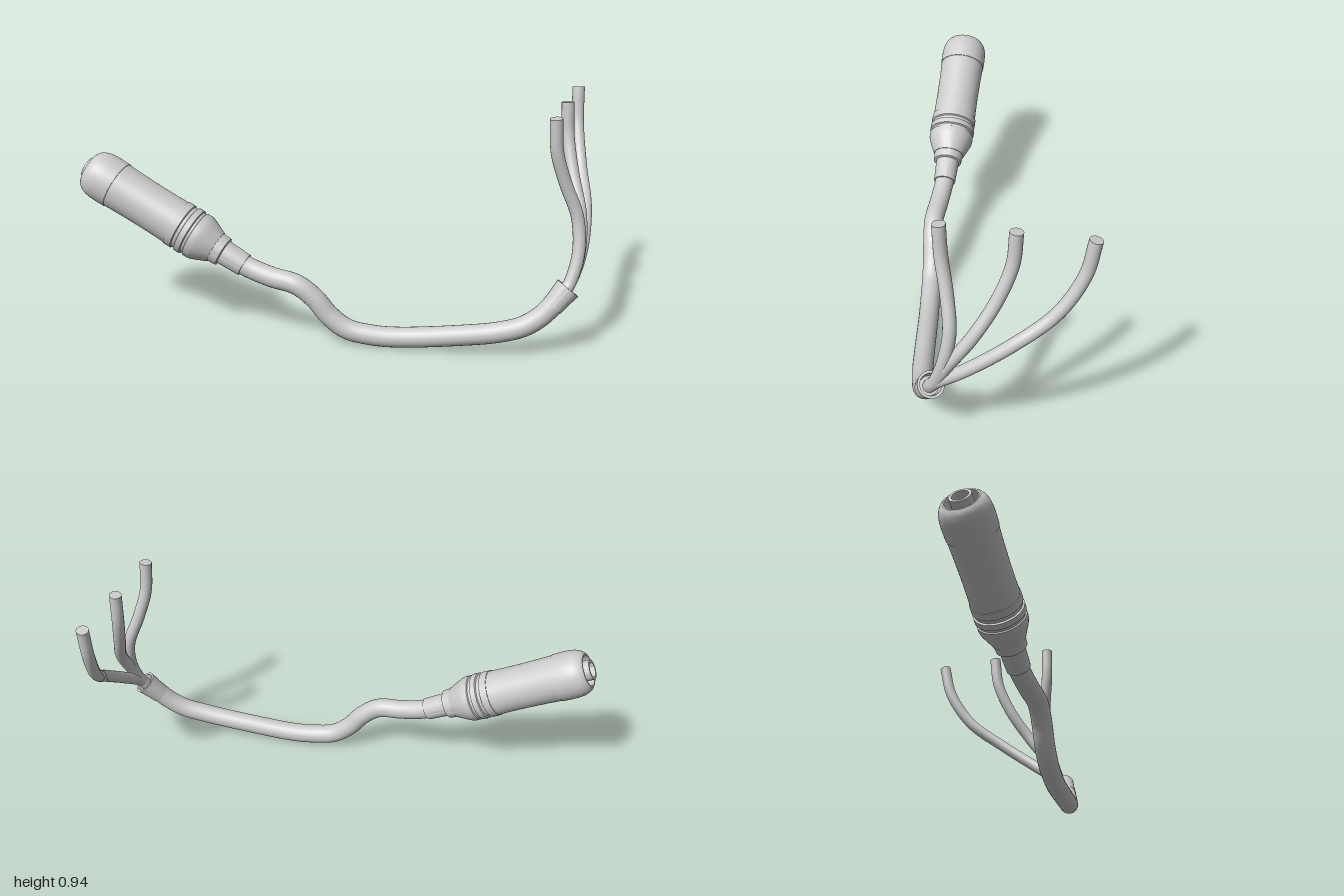
import * as THREE from 'three';
import { toCreasedNormals } from 'three/addons/utils/BufferGeometryUtils.js';

const grey = new THREE.MeshStandardMaterial({ color: 0xcccccc });
grey.name = 'light grey';

const UP = new THREE.Vector3(0, 1, 0);
const vec = (p) => new THREE.Vector3(...p);

function part(name, geometry) {
  const mesh = new THREE.Mesh(geometry, grey);
  mesh.name = name;
  return mesh;
}

// Turned part: profile is a list of [radius, distance along axis]
function turned(name, profile, origin, axis) {
  const pts = profile.map(([r, s]) => new THREE.Vector2(r, s));
  const mesh = part(name, toCreasedNormals(new THREE.LatheGeometry(pts, 48), 0.5));
  mesh.position.copy(origin);
  mesh.quaternion.setFromUnitVectors(UP, axis.clone().normalize());
  return mesh;
}

// Smooth tube through points, closed by a disc at its far end
function cord(name, points, radius, segments) {
  const group = new THREE.Group();
  group.name = name;
  const curve = new THREE.CatmullRomCurve3(points.map(vec), false, 'centripetal');
  group.add(part(name + 'Sheath', new THREE.TubeGeometry(curve, segments, radius, 24)));
  const cap = part(name + 'End', new THREE.CircleGeometry(radius, 24));
  cap.position.copy(curve.getPoint(1));
  cap.quaternion.setFromUnitVectors(new THREE.Vector3(0, 0, 1), curve.getTangent(1));
  group.add(cap);
  return group;
}

export function createModel() {
  const model = new THREE.Group();
  model.name = 'cableWithConnector';

  // Connector, built along its sloping axis
  const origin = vec([-0.884, 0.597, 0.37]);
  const axis = vec([0.571, -0.302, -0.026]);
  const connector = new THREE.Group();
  connector.name = 'connector';
  connector.add(
    // hollow rounded nose
    turned('noseCap', [
      [0, -0.02], [0.06, -0.02], [0.064, -0.097], [0.07, -0.097], [0.08, -0.09],
      [0.089, -0.077], [0.096, -0.058], [0.099, -0.035], [0.1, -0.01],
      [0.099, 0.034], [0.09, 0.036], [0, 0.036],
    ], origin, axis),
    // hollow pin inside the nose
    turned('innerPin', [
      [0, -0.05], [0.03, -0.05], [0.032, -0.113], [0.042, -0.113], [0.042, -0.01], [0, -0.01],
    ], origin, axis),
    // slightly waisted grip
    turned('gripBody', [
      [0, 0.03], [0.097, 0.03], [0.0945, 0.1], [0.093, 0.2], [0.0935, 0.27], [0.095, 0.33], [0, 0.33],
    ], origin, axis),
    // grooved collar and taper
    turned('groovedCollar', [
      [0, 0.32], [0.098, 0.32], [0.098, 0.352], [0.092, 0.355], [0.092, 0.368], [0.099, 0.371],
      [0.099, 0.395], [0.092, 0.398], [0.092, 0.408], [0.097, 0.411], [0.097, 0.432],
      [0.094, 0.445], [0.086, 0.465], [0.066, 0.51], [0, 0.51],
    ], origin, axis),
    turned('rearRing', [
      [0, 0.5], [0.064, 0.5], [0.061, 0.545], [0.05, 0.548], [0, 0.548],
    ], origin, axis),
    turned('strainRelief', [
      [0, 0.53], [0.051, 0.53], [0.047, 0.645], [0.04, 0.645], [0, 0.645],
    ], origin, axis),
  );
  model.add(connector);

  // Main cable
  model.add(cord('mainCable', [
    [-0.36, 0.322, 0.347], [-0.3, 0.29, 0.344], [-0.2, 0.261, 0.345], [-0.09, 0.241, 0.344],
    [-0.02, 0.19, 0.335], [0.04, 0.118, 0.325], [0.11, 0.067, 0.315], [0.2, 0.049, 0.301],
    [0.3, 0.046, 0.284], [0.54, 0.072, 0.245], [0.7, 0.098, 0.216], [0.79, 0.125, 0.192],
    [0.85, 0.165, 0.172], [0.895, 0.214, 0.152], [0.925, 0.25, 0.135],
  ], 0.041, 160));

  // Flared sleeve where the cable splits
  const sleeveBase = vec([0.893, 0.21, 0.153]);
  const sleeveTop = vec([0.945, 0.28, 0.12]);
  const sleeveAxis = sleeveTop.clone().sub(sleeveBase);
  const length = sleeveAxis.length();
  model.add(turned('splitSleeve', [
    [0, 0], [0.043, 0], [0.045, 0.04], [0.051, length], [0.041, length], [0.036, 0.055], [0, 0.055],
  ], sleeveBase, sleeveAxis));

  // Three wires share their x sweep and fan out in z
  const wires = {
    frontWire: [[0.067, 0.41], [0.043, 0.545], [0.06, 0.68], [0.083, 0.806], [0.09, 0.94]],
    middleWire: [[0.053, 0.403], [-0.035, 0.53], [-0.115, 0.667], [-0.165, 0.806], [-0.177, 0.94]],
    backWire: [[-0.01, 0.39], [-0.174, 0.516], [-0.325, 0.642], [-0.413, 0.793], [-0.444, 0.94]],
  };
  const sweep = [0.969, 0.953, 0.903, 0.868, 0.858];
  for (const [name, path] of Object.entries(wires)) {
    model.add(cord(name, [
      [0.92, 0.245, 0.135], [0.948, 0.295, 0.107],
      ...path.map(([z, y], i) => [sweep[i], y, z]),
    ], 0.025, 72));
  }

  return model;
}
